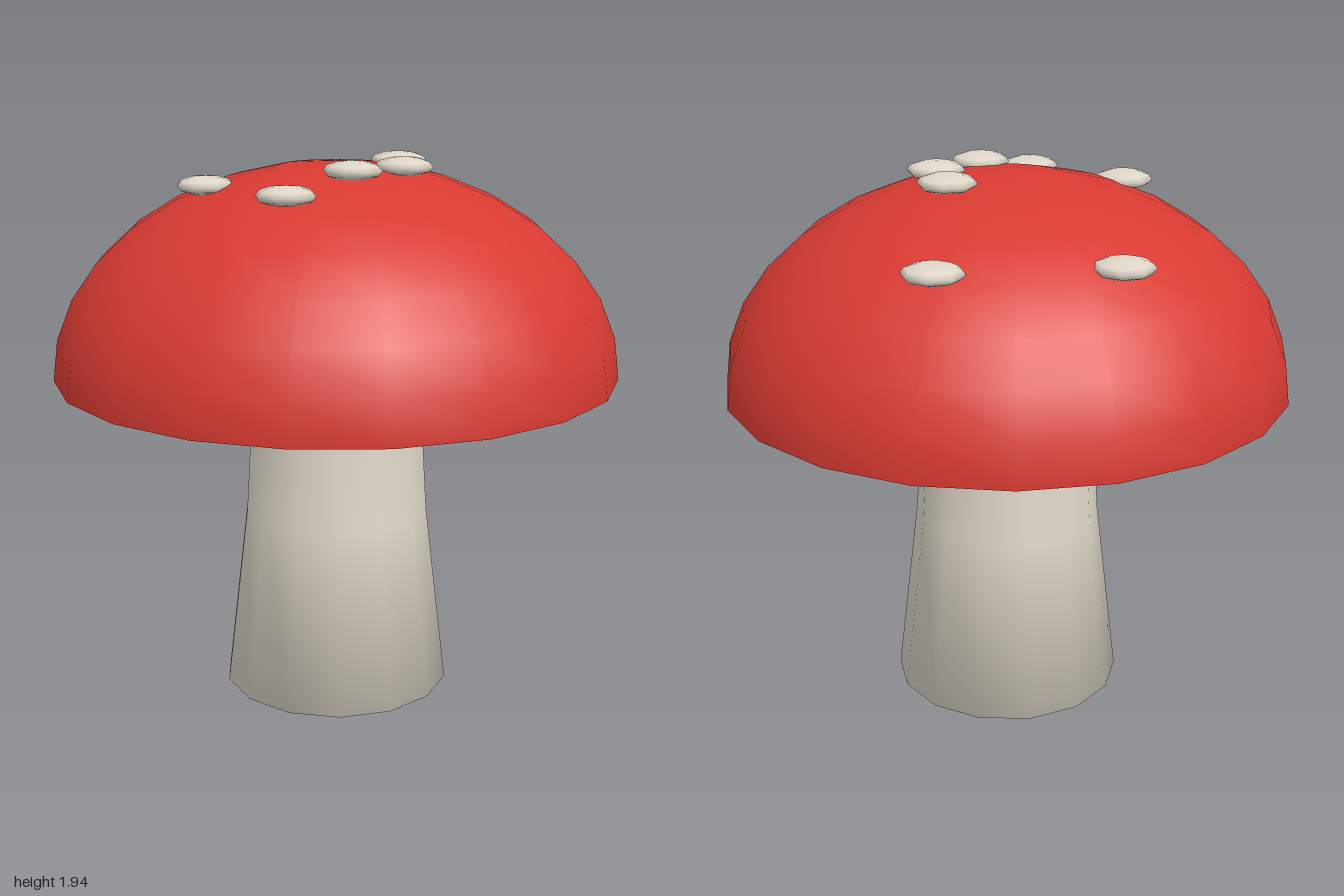
import * as THREE from 'three';

const v = (x, y) => new THREE.Vector2(x, y);

export function createModel() {
  const group = new THREE.Group();
  const red = new THREE.MeshStandardMaterial({ color: 0xd83a32, side: THREE.DoubleSide });
  red.name = 'capRed';
  const cream = new THREE.MeshStandardMaterial({ color: 0xddd5c7 });
  cream.name = 'cream';

  const add = (name, geometry, material) => {
    const mesh = new THREE.Mesh(geometry, material);
    mesh.name = name;
    group.add(mesh);
    return mesh;
  };

  // Stem: flared 14-sided column with a softly shaded closed base
  add('stem', new THREE.LatheGeometry(
    [v(0, 0), v(0.415, 0), v(0.335, 0.66), v(0.308, 1.1)], 14), cream);

  // Cap: open half dome, its rim hanging below the gills
  const dome = new THREE.SphereGeometry(1, 20, 8, 0, Math.PI * 2, 0, Math.PI / 2);
  dome.scale(1, 0.745, 1);
  add('cap', dome, red).position.y = 1.17;

  // Gills: shallow cone closing the inside of the cap
  add('gills', new THREE.LatheGeometry(
    [v(0.28, 1.09), v(0.335, 1.09), v(0.988, 1.253)], 20), cream);

  // Spots: flattened beads half sunk in the cap
  const bead = new THREE.SphereGeometry(0.103, 8, 6);
  bead.scale(1, 0.32, 1);
  const spots = [
    [0.06, 1.73, -0.67], [0.565, 1.73, -0.365], [-0.455, 1.845, -0.085], [-0.345, 1.845, 0.31],
    [-0.065, 1.905, 0.24], [0.155, 1.905, 0.2], [0.25, 1.905, 0],
  ];
  spots.forEach((p, i) => add(`spot${i + 1}`, bead, cream).position.set(...p));

  return group;
}
